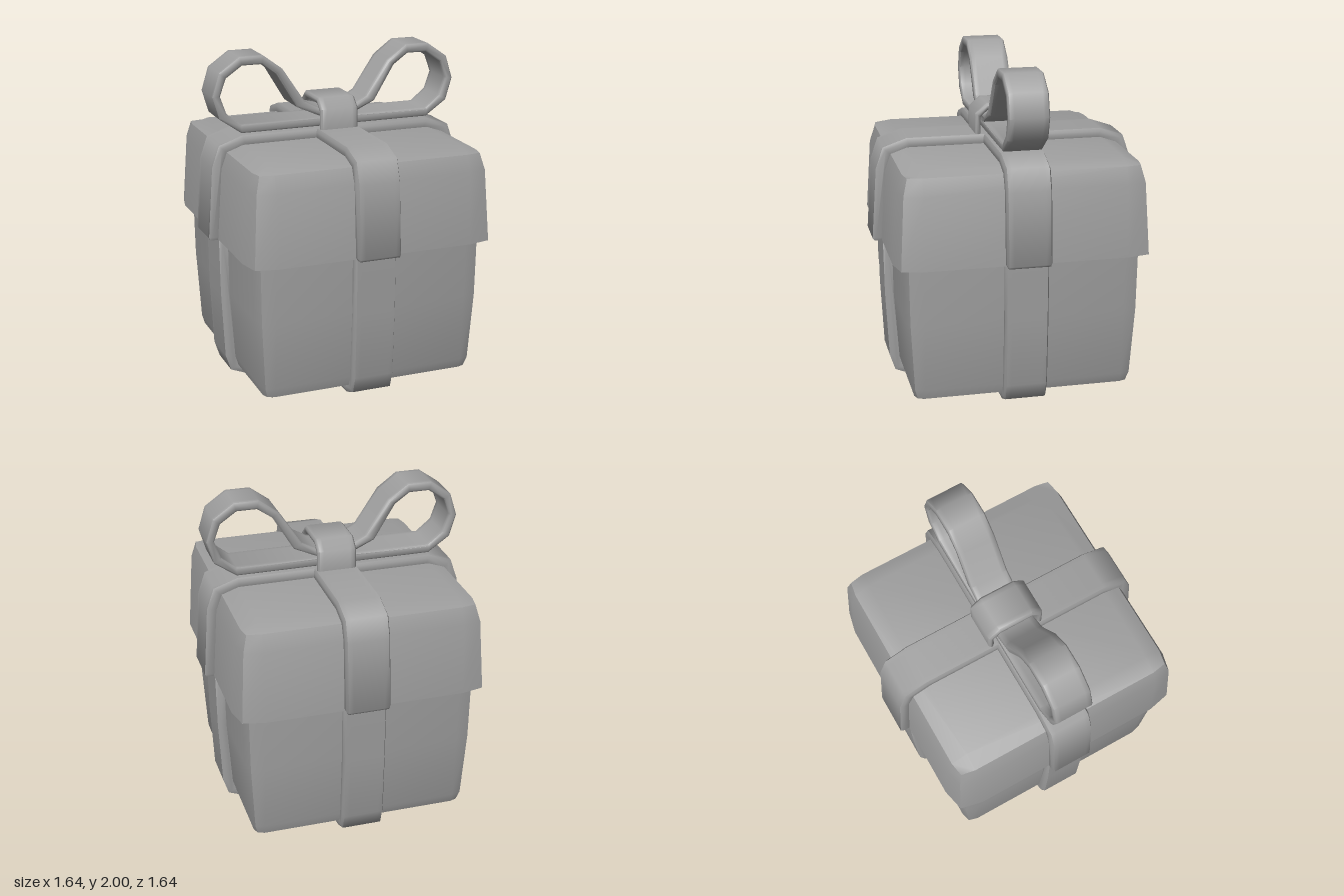
import * as THREE from 'three';
import { toCreasedNormals } from 'three/addons/utils/BufferGeometryUtils.js';

const material = new THREE.MeshStandardMaterial({ color: 0xa0a0a0 });
const INNER = 0.6; // where the flat middle of every box face ends

function addMesh(parent, name, geometry, crease) {
  const mesh = new THREE.Mesh(toCreasedNormals(geometry, crease), material);
  mesh.name = name;
  parent.add(mesh);
  return mesh;
}

// Softly bulging box. Each level is [y, half width mid-face, half width at corner].
function softBox(levels, bottomY, topY) {
  const n = levels.length - 1;
  const geometry = new THREE.BoxGeometry(2, 2, 2, 3, n, 3);
  const p = geometry.attributes.position;
  for (let i = 0; i < p.count; i++) {
    const x = p.getX(i), z = p.getZ(i);
    const k = Math.round((p.getY(i) + 1) / 2 * n);
    const [y, mid, corner] = levels[k];
    const edgeX = Math.abs(x) > 0.9, edgeZ = Math.abs(z) > 0.9;
    const half = edgeX && edgeZ ? corner : mid;
    const capY = k === 0 ? bottomY : topY;
    p.setXYZ(i,
      Math.sign(x) * (edgeX ? half : INNER),
      edgeX || edgeZ ? y : capY,
      Math.sign(z) * (edgeZ ? half : INNER));
  }
  return geometry;
}

const vectors = (points) => points.map(([x, y]) => new THREE.Vector2(x, y));
const mirrored = (points) => points.map(([x, y]) => [-x, y]).reverse();

// Ribbon strip: a half outline mirrored in x, extruded along z with bevelled edges.
// A hole runs counter-clockwise inside a clockwise outline.
function strip(half, halfWidth, bevelSize, bevelThickness, hole) {
  const shape = new THREE.Shape(vectors([...half, ...mirrored(half)]));
  if (hole) {
    shape.holes.push(new THREE.Path(vectors(hole)), new THREE.Path(vectors(mirrored(hole))));
  }
  const depth = 2 * (halfWidth - bevelThickness);
  const geometry = new THREE.ExtrudeGeometry(shape, {
    depth, steps: 8, bevelSize, bevelThickness, bevelOffset: -bevelSize, bevelSegments: 1,
  });
  return geometry.translate(0, 0, -depth / 2);
}

export function createModel() {
  const model = new THREE.Group();
  model.name = 'giftBox';

  // Box and overhanging lid
  addMesh(model, 'boxBody', softBox([
    [0.07, 0.655, 0.64], [0.13, 0.673, 0.657], [0.55, 0.7, 0.68], [0.95, 0.705, 0.685],
  ], 0.045, 0.95), 0.5);
  addMesh(model, 'lid', softBox([
    [0.905, 0.765, 0.735], [1.34, 0.735, 0.71], [1.44, 0.7, 0.685],
  ], 0.905, 1.475), 0.5);

  // Crossing ribbons around the box and over the lid
  const bodyBand = [
    [0.6, 0], [0.7, 0.04], [0.733, 0.14], [0.753, 0.55], [0.758, 0.92],
    [0.69, 0.92], [0.685, 0.55], [0.655, 0.13], [0.635, 0.09], [0.57, 0.06],
  ];
  const lidBand = [
    [0.6, 1.53], [0.745, 1.48], [0.79, 1.35], [0.82, 0.915], [0.808, 0.9],
    [0.75, 0.9], [0.72, 1.34], [0.685, 1.42], [0.58, 1.46],
  ];
  for (const [name, angle] of [['Side', 0], ['Front', Math.PI / 2]]) {
    addMesh(model, 'bodyRibbon' + name, strip(bodyBand, 0.13, 0.02, 0.01), 0.95).rotation.y = angle;
    addMesh(model, 'lidRibbon' + name, strip(lidBand, 0.134, 0.02, 0.01), 0.95).rotation.y = angle;
  }

  // Bow with two open loops
  const bowOutline = [
    [0.04, 1.635], [0.12, 1.655], [0.2, 1.7], [0.34, 1.91], [0.458, 1.998], [0.605, 1.998],
    [0.73, 1.91], [0.773, 1.77], [0.733, 1.635], [0.6, 1.542],
  ];
  const loopHole = [
    [0.07, 1.592], [0.6, 1.592], [0.69, 1.665], [0.728, 1.773], [0.69, 1.878],
    [0.59, 1.947], [0.468, 1.947], [0.378, 1.883], [0.25, 1.67], [0.12, 1.61],
  ];
  addMesh(model, 'bow', strip(bowOutline, 0.12, 0.01, 0.008, loopHole), 0.95);

  // Knot strap arching over the middle of the bow
  const knotOutline = [
    [0.11, 1.715], [0.178, 1.655], [0.178, 1.51],
    [0.145, 1.51], [0.145, 1.635], [0.1, 1.675],
  ];
  addMesh(model, 'knot', strip(knotOutline, 0.12, 0.012, 0.012), 0.95).rotation.y = Math.PI / 2;

  return model;
}
